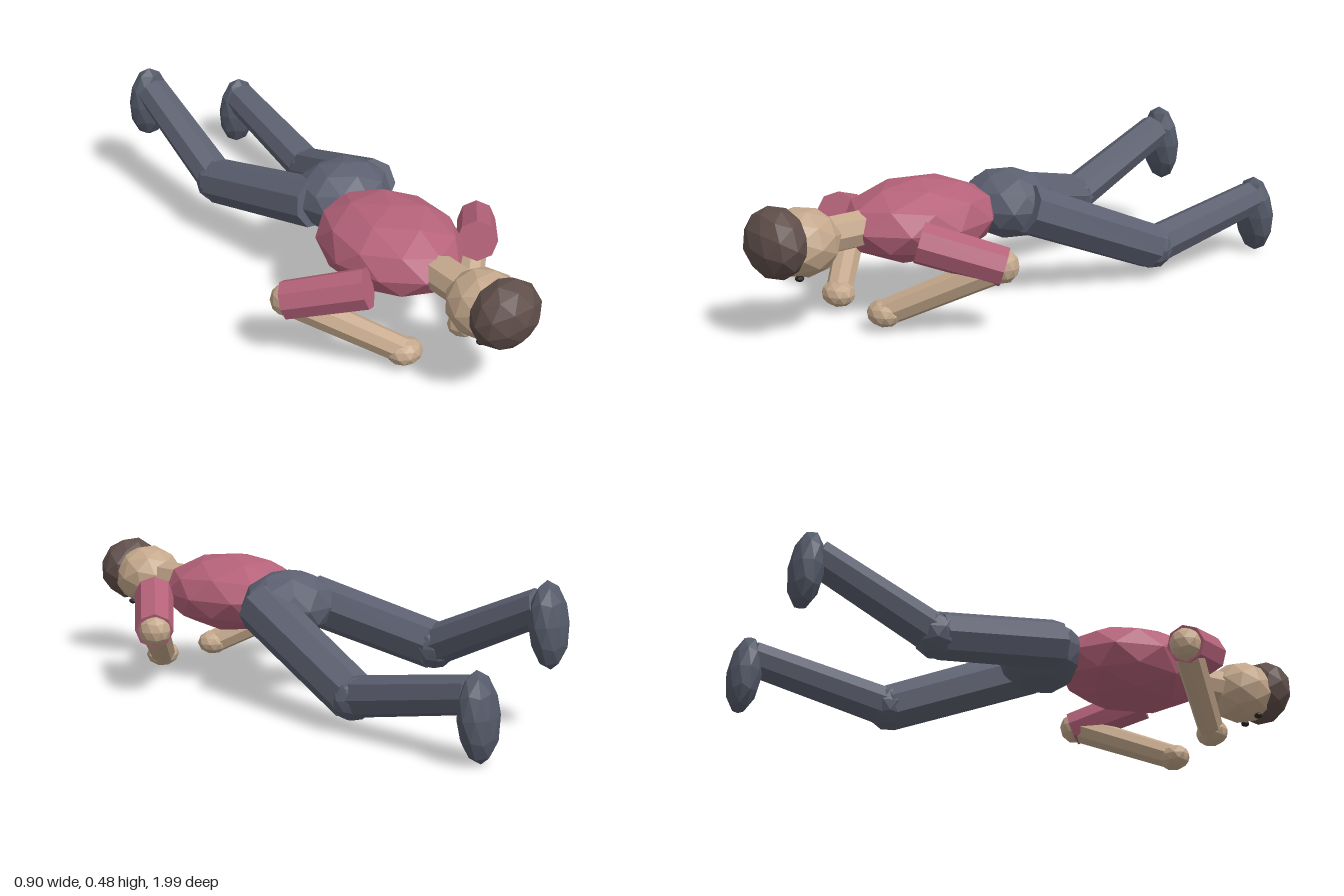
import * as THREE from 'three';

const paint = (name, color) => {
  const m = new THREE.MeshStandardMaterial({ color, flatShading: true });
  m.name = name;
  return m;
};

export function createModel() {
  const skin = paint('skin', 0xc4a88c);
  const shirt = paint('shirt', 0xb5627a);
  const trousers = paint('trousers', 0x5c6070);
  const shoes = paint('shoes', 0x545a69);
  const hair = paint('hair', 0x5f4e4a);
  const dark = paint('eyes', 0x2a2424);

  const model = new THREE.Group();
  model.name = 'proneFigure';

  // Faceted ball with one corner of its icosahedron pointing up
  const ballGeometry = new THREE.IcosahedronGeometry(1, 1);
  ballGeometry.rotateX(-Math.atan((1 + Math.sqrt(5)) / 2));

  function ball(parent, name, material, center, radii, tilt = 0) {
    const mesh = new THREE.Mesh(ballGeometry, material);
    mesh.name = name;
    mesh.position.set(...center);
    mesh.scale.set(...radii);
    mesh.rotation.x = tilt;
    parent.add(mesh);
  }

  // Eight-sided limb between two points
  function limb(parent, name, material, from, to, r0, r1) {
    const a = new THREE.Vector3(...from);
    const b = new THREE.Vector3(...to);
    const dir = b.clone().sub(a);
    const mesh = new THREE.Mesh(new THREE.CylinderGeometry(r1, r0, dir.length(), 8), material);
    mesh.name = name;
    mesh.position.copy(a).add(b).multiplyScalar(0.5);
    mesh.quaternion.setFromUnitVectors(new THREE.Vector3(0, 1, 0), dir.normalize());
    parent.add(mesh);
  }

  // Trunk
  ball(model, 'torso', shirt, [0, 0.298, 0.36], [0.22, 0.135, 0.278]);
  ball(model, 'pelvis', trousers, [0.06, 0.305, 0.035], [0.172, 0.118, 0.152]);
  limb(model, 'neck', skin, [0, 0.305, 0.56], [0, 0.305, 0.75], 0.06, 0.06);

  // Head, face down, with the crown towards the front
  const head = new THREE.Group();
  head.name = 'head';
  model.add(head);
  ball(head, 'face', skin, [0, 0.302, 0.813], [0.12, 0.11, 0.127], Math.PI / 2);
  ball(head, 'hair', hair, [0, 0.317, 0.905], [0.125, 0.092, 0.115], Math.PI / 2);
  head.getObjectByName('face').scale.set(0.12, 0.127, 0.11);

  for (const s of [-1, 1]) {
    const side = s > 0 ? 'left' : 'right';
    ball(head, side + 'Eye', dark, [s * 0.043, 0.203, 0.852], [0.015, 0.01, 0.015]);

    // Arm: elbow out, hand under the face
    const arm = new THREE.Group();
    arm.name = side + 'Arm';
    model.add(arm);
    const elbow = [s * 0.395, 0.224, 0.34];
    const hand = [s * 0.127, 0.057, 0.598];
    limb(arm, 'sleeve', shirt, [s * 0.225, 0.298, 0.53], [s * 0.402, 0.222, 0.335], 0.068, 0.064);
    ball(arm, 'elbow', skin, elbow, [0.056, 0.056, 0.056]);
    limb(arm, 'forearm', skin, elbow, hand, 0.05, 0.044);
    ball(arm, 'hand', skin, hand, [0.062, 0.044, 0.053]);
  }

  // Legs: the right shin is raised higher than the left
  const legs = [
    { side: 'left', hip: [0.175, 0.31, 0.055], knee: [0.272, 0.108, -0.435],
      ankle: [0.294, 0.203, -0.915], foot: [0.296, 0.14, -0.938] },
    { side: 'right', hip: [-0.055, 0.305, 0.03], knee: [-0.134, 0.203, -0.435],
      ankle: [-0.134, 0.39, -0.85], foot: [-0.134, 0.336, -0.882] },
  ];
  for (const { side, hip, knee, ankle, foot } of legs) {
    const leg = new THREE.Group();
    leg.name = side + 'Leg';
    model.add(leg);
    limb(leg, 'thigh', trousers, hip, knee, 0.086, 0.08);
    ball(leg, 'knee', trousers, knee, [0.078, 0.078, 0.078]);
    limb(leg, 'shin', trousers, knee, ankle, 0.068, 0.06);
    ball(leg, 'foot', shoes, foot, [0.078, 0.14, 0.056], 0.08);
  }

  return model;
}
